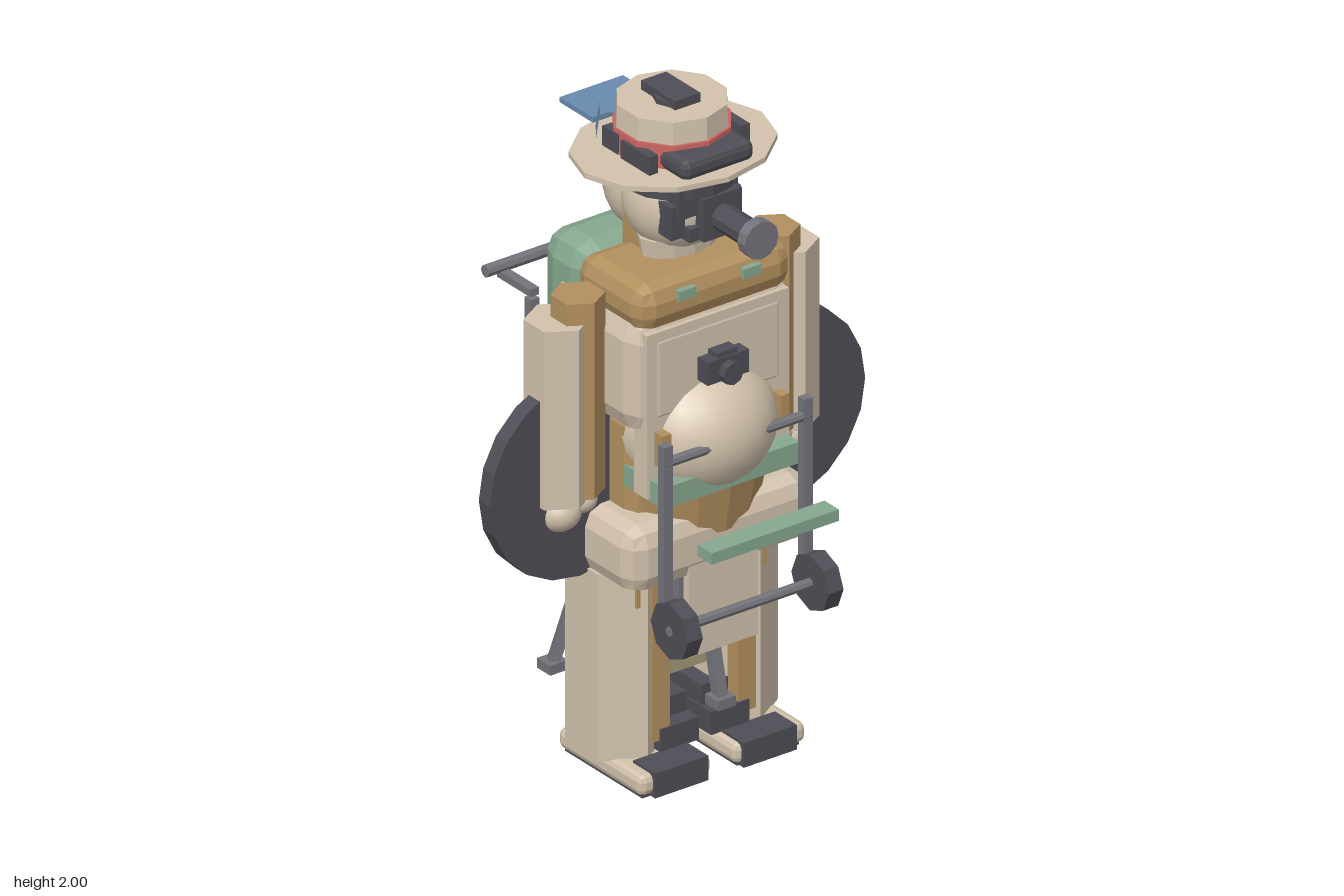
import * as THREE from 'three';
import { RoundedBoxGeometry } from 'three/addons/geometries/RoundedBoxGeometry.js';

const material = (name, color) => Object.assign(new THREE.MeshStandardMaterial({ color }), { name });
const tan = material('tan', 0xd3c3ad);
const brown = material('brown', 0xb3905f);
const dark = material('charcoal', 0x4f4d55);
const steel = material('steel', 0x73737b);
const green = material('green', 0x86a88f);
const blue = material('blue', 0x6a8bae);
const red = material('red', 0xcb6462);
const olive = material('olive', 0xa39a78);

// Facet a geometry by giving every face its own normal
function flat(geo) {
  const g = geo.index ? geo.toNonIndexed() : geo;
  g.computeVertexNormals();
  return g;
}
const box = (w, h, d) => new THREE.BoxGeometry(w, h, d);
const chamfer = (w, h, d, r) => flat(new RoundedBoxGeometry(w, h, d, 1, r));
const prism = (rTop, rBottom, h, sides) => flat(new THREE.CylinderGeometry(rTop, rBottom, h, sides));
const ball = (rx, ry, rz) => new THREE.SphereGeometry(1, 24, 16).scale(rx, ry, rz);
const wheelGeo = (r, w, sides) => prism(r, r, w, sides).rotateZ(Math.PI / 2);
const lensGeo = (r, len, sides) => prism(r, r, len, sides).rotateX(Math.PI / 2);

export function createModel() {
  const model = new THREE.Group();
  model.name = 'explorer';

  const add = (name, geo, mat, x, y, z) => {
    const mesh = new THREE.Mesh(geo, mat);
    mesh.name = name;
    mesh.position.set(x, y, z);
    model.add(mesh);
    return mesh;
  };
  const pair = (name, geo, mat, x, y, z) => {
    add(name + 'Left', geo, mat, x, y, z);
    add(name + 'Right', geo, mat, -x, y, z);
  };
  // Square strut between two points
  const strut = (name, a, b, w, mat) => {
    const p = new THREE.Vector3(...a), q = new THREE.Vector3(...b);
    const mid = p.clone().add(q).multiplyScalar(0.5);
    const mesh = add(name, box(w, w, p.distanceTo(q)), mat, mid.x, mid.y, mid.z);
    mesh.lookAt(q);
  };

  // Hat
  add('hatBrim', prism(0.3, 0.3, 0.016, 12).scale(1, 1, 0.84), tan, 0, 1.826, 0.005);
  add('hatCrown', prism(0.157, 0.163, 0.145, 10), tan, 0, 1.9, 0);
  add('hatBand', prism(0.168, 0.17, 0.07, 10), red, 0, 1.87, 0);
  add('hatButton', prism(0.06, 0.06, 0.016, 8), dark, 0, 1.978, 0.01);
  add('hatClip', box(0.086, 0.03, 0.155), dark, 0, 1.985, -0.006);
  add('hatGoggles', chamfer(0.24, 0.06, 0.14, 0.02), dark, 0, 1.862, 0.148);
  pair('gogglePad', box(0.03, 0.055, 0.13), dark, 0.155, 1.862, 0.06);
  pair('strapPad', box(0.03, 0.06, 0.07), dark, 0.15, 1.865, -0.06);

  // Blue cap wrapped round the back of the hat
  const wrap = new THREE.CylinderGeometry(0.19, 0.2, 0.08, 6, 1, false, Math.PI * 0.68, Math.PI * 0.64);
  add('capBack', flat(wrap).scale(0.95, 1, 1.2), blue, 0, 1.88, 0);
  add('capVisor', box(0.214, 0.016, 0.15), blue, 0, 1.843, -0.29);

  // Head
  add('face', ball(0.15, 0.155, 0.145), tan, 0, 1.685, 0.015);
  add('backOfHead', ball(0.125, 0.155, 0.115), tan, 0, 1.685, -0.115);
  add('chin', prism(0.13, 0.12, 0.06, 12).scale(1, 1, 0.6), tan, 0, 1.56, 0.03);
  add('neck', box(0.2, 0.12, 0.14), brown, 0, 1.55, -0.02);
  add('headBand', prism(0.168, 0.165, 0.075, 16), dark, 0, 1.785, 0.025);
  add('hair', prism(0.14, 0.13, 0.11, 16).scale(1, 1, 0.83), dark, 0, 1.768, -0.12);

  // Face gear with the long lens
  add('visorPlate', box(0.2, 0.09, 0.05), dark, 0, 1.735, 0.14);
  add('lensMount', box(0.13, 0.13, 0.1), dark, 0.03, 1.68, 0.14);
  pair('eyeClip', box(0.045, 0.1, 0.06), dark, 0.095, 1.68, 0.125);
  add('mountFoot', box(0.035, 0.04, 0.05), dark, -0.05, 1.635, 0.145);
  add('lensBarrel', lensGeo(0.04, 0.2, 10), dark, 0.03, 1.675, 0.25);
  add('lensHood', lensGeo(0.057, 0.035, 12), steel, 0.03, 1.675, 0.349);

  // Collar and torso
  add('collar', chamfer(0.52, 0.14, 0.31, 0.05), brown, 0, 1.465, 0.055);
  pair('collarClip', box(0.06, 0.03, 0.02), green, 0.11, 1.493, 0.208);
  add('chest', chamfer(0.54, 0.36, 0.42, 0.07), tan, 0, 1.255, 0);
  add('chestFront', box(0.48, 0.5, 0.06), tan, 0, 1.15, 0.178);
  add('waist', chamfer(0.46, 0.42, 0.3, 0.06), brown, 0, 0.92, 0);
  add('chestCamera', box(0.14, 0.07, 0.05), dark, 0, 1.25, 0.23);
  add('chestCameraGrip', box(0.07, 0.04, 0.04), dark, 0, 1.28, 0.23);
  add('chestCameraLens', lensGeo(0.034, 0.06, 8), dark, 0, 1.24, 0.25);

  // Belly with its sling and pads
  add('belly', ball(0.232, 0.205, 0.23), tan, 0, 1.035, 0.095);
  add('sling', prism(0.235, 0.19, 0.2, 14).scale(1, 1, 0.8), brown, 0, 0.845, 0.09);
  add('bellyShelf', box(0.46, 0.065, 0.2), green, 0, 0.925, 0.17);
  pair('bellyPad', box(0.03, 0.1, 0.06), brown, 0.2, 1.05, 0.215);
  add('tray', box(0.43, 0.035, 0.065), green, 0, 0.82, 0.435);

  // Arms, hands and side discs
  pair('shoulder', prism(0.075, 0.075, 0.6, 6), brown, 0.33, 1.18, 0.015);
  pair('arm', prism(0.095, 0.095, 0.545, 6), tan, 0.383, 1.142, -0.003);
  pair('hand', ball(0.066, 0.06, 0.068), tan, 0.387, 0.83, 0);
  pair('thumb', ball(0.045, 0.04, 0.045), tan, 0.33, 0.86, 0.03);
  pair('disc', wheelGeo(0.305, 0.05, 20).rotateY(Math.PI / 2), dark, 0.33, 0.925, 0);

  // Belt
  add('belt', chamfer(0.625, 0.2, 0.485, 0.055), tan, 0, 0.72, -0.005);
  add('backPouch', chamfer(0.14, 0.12, 0.1, 0.025), tan, 0, 0.77, -0.285);
  pair('hipPouch', box(0.1, 0.13, 0.05), brown, 0.17, 0.595, 0.11);
  add('frontFlap', box(0.235, 0.35, 0.02), tan, 0, 0.565, 0.225);
  add('seatPad', box(0.34, 0.04, 0.16), green, 0, 0.605, -0.13);

  // Legs
  pair('trouserLeg', prism(0.148, 0.148, 0.57, 6).scale(0.9, 1, 1), tan, 0.19, 0.35, -0.002);
  pair('innerTrouser', box(0.06, 0.52, 0.22), brown, 0.145, 0.37, 0.035);
  pair('innerLeg', chamfer(0.11, 0.5, 0.12, 0.025), steel, 0.088, 0.36, -0.107);
  pair('innerHeel', box(0.125, 0.065, 0.13), steel, 0.088, 0.092, -0.145);
  add('crossPanel', box(0.28, 0.065, 0.02), olive, 0, 0.28, 0.05);

  // Feet
  pair('ankle', box(0.1, 0.08, 0.16), dark, 0.075, 0.165, 0.02);
  pair('instep', box(0.13, 0.07, 0.16), dark, 0.085, 0.11, 0.07);
  pair('shoe', chamfer(0.24, 0.06, 0.38, 0.018), tan, 0.16, 0.04, 0.045);
  pair('sole', box(0.21, 0.012, 0.35), dark, 0.16, 0.006, 0.045);
  pair('toeCap', box(0.18, 0.075, 0.1), dark, 0.15, 0.04, 0.195);

  // Backpack
  add('packTop', chamfer(0.48, 0.34, 0.22, 0.07), green, 0, 1.365, -0.18);
  add('packBody', chamfer(0.38, 0.48, 0.12, 0.025), green, 0, 1.15, -0.205);
  pair('flask', ball(0.035, 0.05, 0.035), green, 0.21, 1.0, -0.155);

  // Tripod legs
  const tripod = [
    [[0, 0.6, 0.13], [0, 0.22, 0.22]],
    [[0.14, 0.62, -0.16], [0.24, 0.22, -0.22]],
    [[-0.14, 0.62, -0.16], [-0.24, 0.22, -0.22]],
  ];
  for (const [top, foot] of tripod) {
    strut('tripodLeg', top, foot, 0.032, steel);
    add('tripodFoot', box(0.06, 0.03, 0.06), steel, ...foot);
  }

  // Wheeled frames at front and back
  for (const [name, poleZ, wheelZ, top] of [['front', 0.288, 0.34, 1.1], ['back', -0.317, -0.375, 1.3]]) {
    pair(name + 'Pole', box(0.03, top - 0.56, 0.028), steel, 0.237, (top + 0.56) / 2, poleZ);
    pair(name + 'WheelFork', box(0.03, 0.03, 0.08), steel, 0.237, 0.57, (poleZ + wheelZ) / 2);
    pair(name + 'Wheel', wheelGeo(0.085, 0.05, 8), dark, 0.238, 0.56, wheelZ);
    add(name + 'Axle', wheelGeo(0.015, 0.53, 8), steel, 0, 0.56, wheelZ);
  }
  add('frontRail', wheelGeo(0.015, 0.5, 8), steel, 0, 1.045, 0.288);
  pair('handleArm', box(0.03, 0.022, 0.15), steel, 0.237, 1.32, -0.38);
  add('handleBar', wheelGeo(0.018, 0.59, 8), steel, 0, 1.34, -0.452);

  return model;
}
